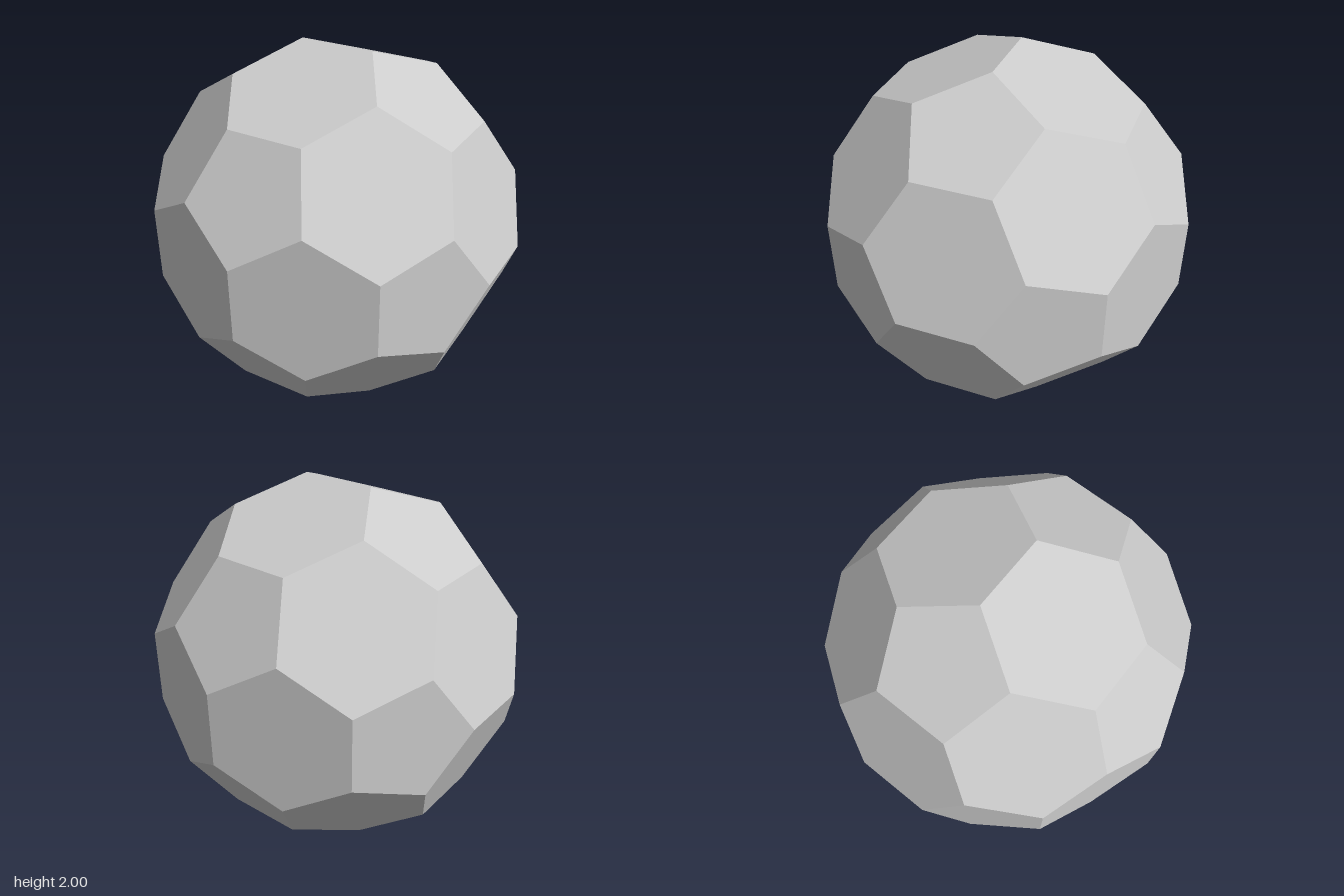
import * as THREE from 'three';

const PHI = (1 + Math.sqrt(5)) / 2;

// All sign changes and cyclic permutations of a coordinate triple, without repeats.
function symmetric(a, b, c) {
  const found = [];
  for (const [x, y, z] of [[a, b, c], [b, c, a], [c, a, b]])
    for (const sx of [1, -1]) for (const sy of [1, -1]) for (const sz of [1, -1]) {
      const p = new THREE.Vector3(x * sx, y * sy, z * sz);
      if (!found.some((q) => q.distanceTo(p) < 1e-6)) found.push(p);
    }
  return found;
}

// Flat polygons, one per direction: the corners lying furthest along it, as a fan.
function panels(directions, corners) {
  const positions = [];
  for (const direction of directions) {
    const n = direction.clone().normalize();
    const reach = Math.max(...corners.map((p) => p.dot(n)));
    const ring = corners.filter((p) => p.dot(n) > reach - 1e-4);
    const center = n.clone().multiplyScalar(reach);
    const u = ring[0].clone().sub(center).normalize();
    const v = n.clone().cross(u);
    const angle = (p) => Math.atan2(p.clone().sub(center).dot(v), p.clone().sub(center).dot(u));
    ring.sort((p, q) => angle(p) - angle(q));
    for (let i = 1; i < ring.length - 1; i++)
      for (const p of [ring[0], ring[i], ring[i + 1]]) positions.push(p.x, p.y, p.z);
  }
  const geometry = new THREE.BufferGeometry();
  geometry.setAttribute('position', new THREE.Float32BufferAttribute(positions, 3));
  geometry.computeVertexNormals();
  return geometry;
}

export function createModel() {
  const group = new THREE.Group();
  group.name = 'truncatedIcosahedron';
  const material = new THREE.MeshStandardMaterial({ color: 0xcccccc, flatShading: true });

  // The 60 corners, scaled to a half extent of 1
  const corners = [
    ...symmetric(0, 1, 3 * PHI),
    ...symmetric(1, 2 + PHI, 2 * PHI),
    ...symmetric(PHI, 2, 2 * PHI + 1),
  ].map((p) => p.divideScalar(3 * PHI));

  // 12 pentagons face the icosahedron's corners, 20 hexagons face its sides
  const parts = {
    pentagonPanels: symmetric(0, 1, PHI),
    hexagonPanels: [...symmetric(1, 1, 1), ...symmetric(1 / PHI, 0, PHI)],
  };
  for (const [name, directions] of Object.entries(parts)) {
    const mesh = new THREE.Mesh(panels(directions, corners), material);
    mesh.name = name;
    mesh.position.y = 1;
    group.add(mesh);
  }
  return group;
}
